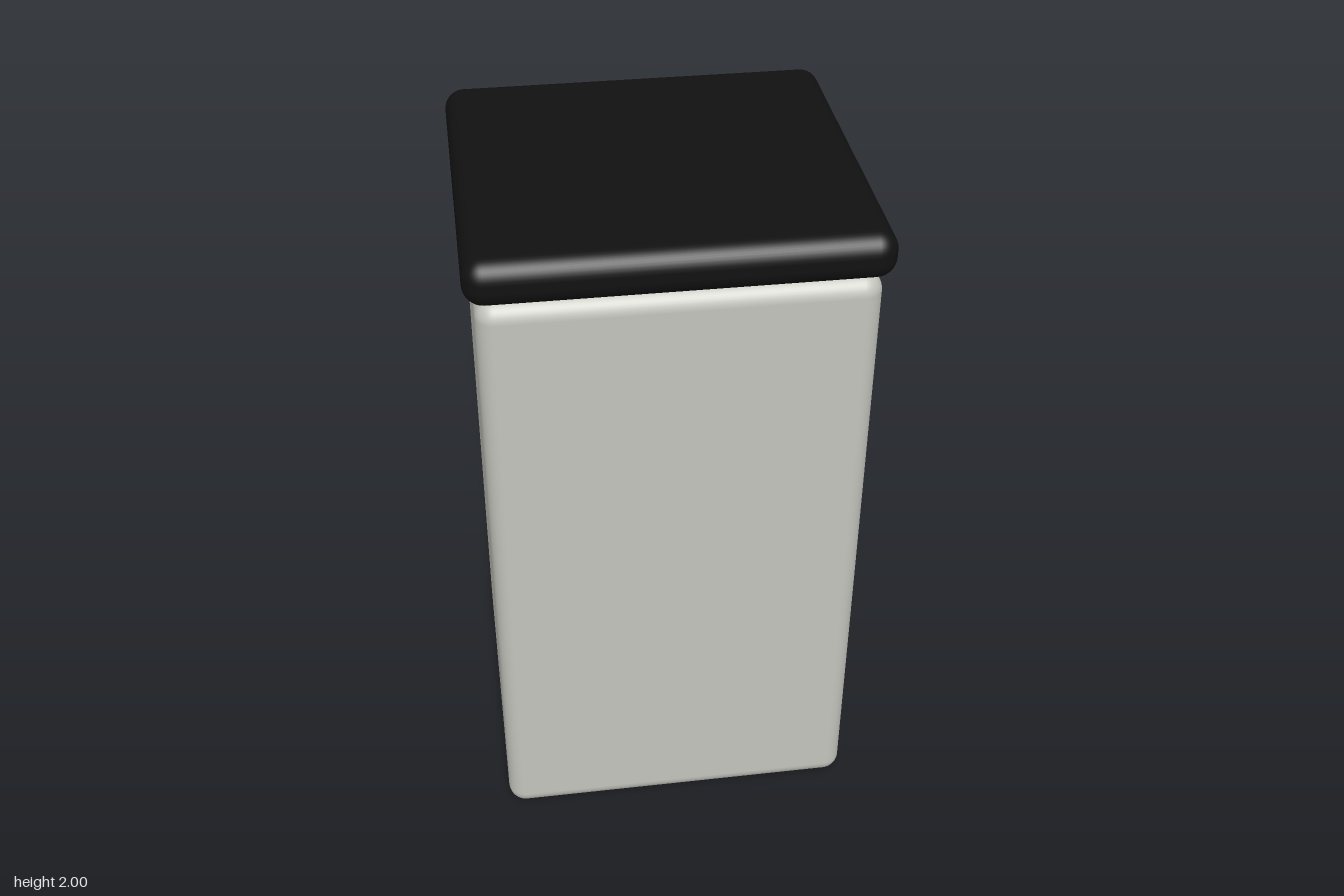
import * as THREE from 'three';
import { RoundedBoxGeometry } from 'three/addons/geometries/RoundedBoxGeometry.js';

export function createModel() {
  const group = new THREE.Group();
  group.name = 'pedalBin';

  const grey = new THREE.MeshStandardMaterial({ color: 0xc4c4bd });
  grey.name = 'warm grey';
  const black = new THREE.MeshStandardMaterial({ color: 0x111111 });
  black.name = 'black';

  const add = (name, geometry, material, x, y, z) => {
    const mesh = new THREE.Mesh(geometry, material);
    mesh.name = name;
    mesh.position.set(x, y, z);
    group.add(mesh);
  };

  // Tall bin body with softly rounded edges
  add('body', new RoundedBoxGeometry(1.064, 1.866, 1.014, 5, 0.053), grey, 0, 0.933, 0.081);

  // Overhanging lid with a nearly half-round rim
  add('lid', new RoundedBoxGeometry(1.118, 0.133, 1.064, 5, 0.056), black, 0, 1.9335, 0.079);

  // Foot pedal projecting from the back face
  add('pedal', new THREE.BoxGeometry(0.32, 0.053, 0.23), black, 0, 0.083, -0.5);

  return group;
}
